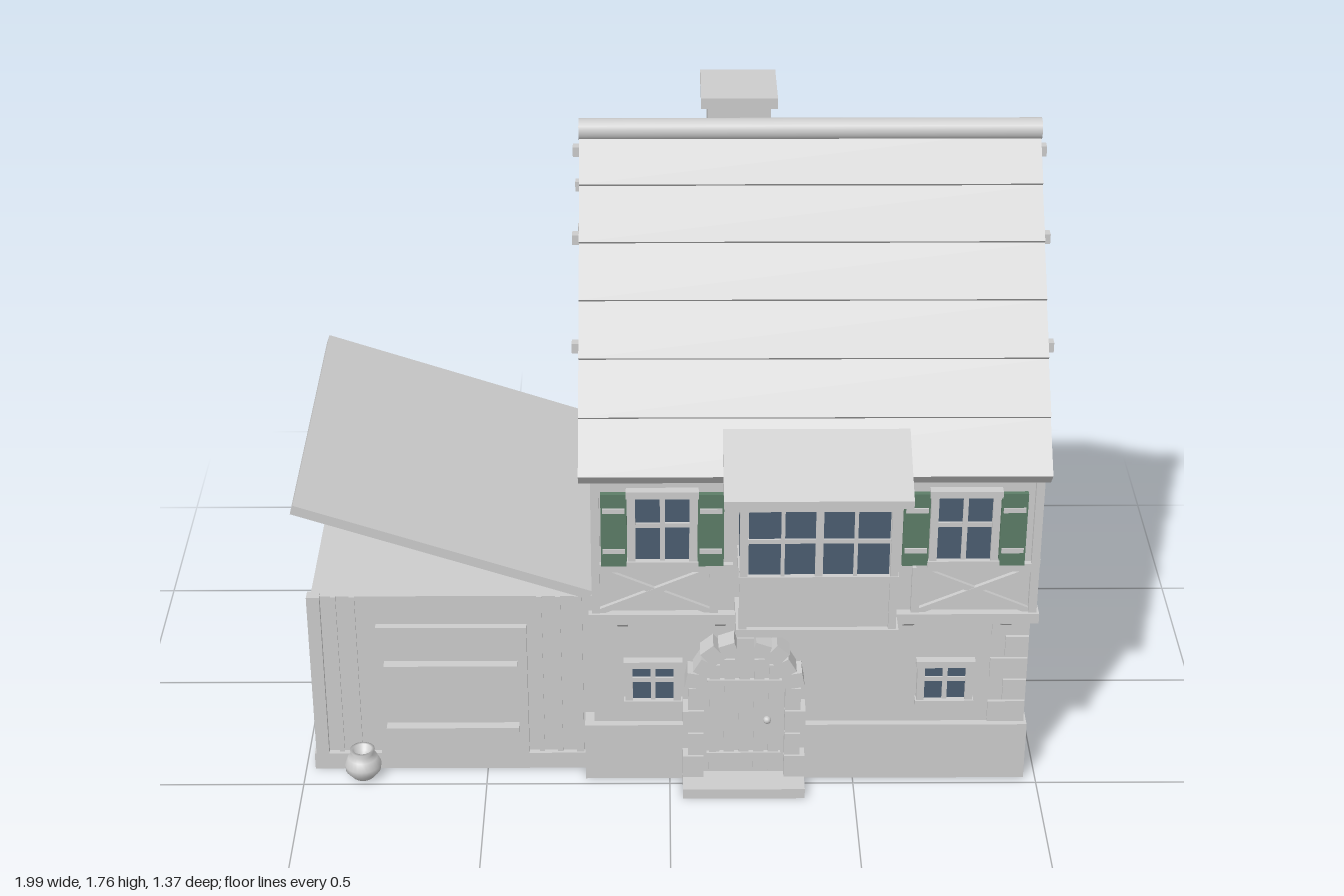
import * as THREE from 'three';

const material = (name, color) => Object.assign(new THREE.MeshStandardMaterial({ color }), { name });
const STONE = material('pale grey', 0xcccccc);
const GREEN = material('shutter green', 0x5c7d67);
const GLASS = material('window blue', 0x4b5d70);

function add(parent, name, geometry, mat = STONE) {
  const mesh = new THREE.Mesh(geometry, mat);
  mesh.name = name;
  parent.add(mesh);
  return mesh;
}

// Box given by its limits on each axis
function box(parent, name, x0, x1, y0, y1, z0, z1, mat) {
  const mesh = add(parent, name, new THREE.BoxGeometry(x1 - x0, y1 - y0, z1 - z0), mat);
  mesh.position.set((x0 + x1) / 2, (y0 + y1) / 2, (z0 + z1) / 2);
  return mesh;
}

// Straight bar between two points of a facade plane
function beam(parent, name, u0, v0, u1, v1, width = 0.022, depth = 0.015, z = 0) {
  const mesh = add(parent, name, new THREE.BoxGeometry(Math.hypot(u1 - u0, v1 - v0), width, depth));
  mesh.position.set((u0 + u1) / 2, (v0 + v1) / 2, z + depth / 2);
  mesh.rotation.z = Math.atan2(v1 - v0, u1 - u0);
  return mesh;
}

function cross(parent, u0, u1, v0, v1) {
  beam(parent, 'crossBrace', u0, v0, u1, v1, 0.017, 0.012);
  beam(parent, 'crossBrace', u0, v1, u1, v0, 0.017, 0.011);
}

function group(parent, name, x = 0, y = 0, z = 0, turn = 0) {
  const g = new THREE.Group();
  g.name = name;
  g.position.set(x, y, z);
  g.rotation.y = turn;
  parent.add(g);
  return g;
}

// Framed window centred on (u, v), with optional pair of shutters
function windowAt(parent, u, v, w, h, shutter = 0) {
  const g = group(parent, 'window', u, v, 0);
  const a = w / 2, b = h / 2, f = 0.02;
  box(g, 'glass', -a + f, a - f, -b + f, b - f, 0, 0.008, GLASS);
  for (const s of [-1, 1]) {
    beam(g, 'frameSide', s * (a - f / 2), -b, s * (a - f / 2), b, f, 0.02);
    beam(g, 'frameRail', -a - 0.004, s * (b - f / 2), a + 0.004, s * (b - f / 2), f, 0.025);
    if (!shutter) continue;
    const c = s * (a + shutter / 2 + 0.002);
    box(g, 'shutter', c - shutter / 2, c + shutter / 2, -b + 0.005, b - 0.01, 0.005, 0.02, GREEN);
    for (const t of [-0.55, 0.5])
      box(g, 'shutterStrap', c - shutter / 2 + 0.005, c + shutter / 2 - 0.005, t * b - 0.007, t * b + 0.007, 0.02, 0.024);
  }
  beam(g, 'mullion', 0, -b, 0, b, 0.013, 0.015);
  beam(g, 'glazingBar', -a, 0.01, a, 0.01, 0.013, 0.014);
}

// Solid from a profile of [toward the back, up] pairs, running along x
function prism(parent, name, points, x0, x1) {
  const shape = new THREE.Shape(points.map(p => new THREE.Vector2(...p)));
  const mesh = add(parent, name, new THREE.ExtrudeGeometry(shape, { depth: x1 - x0, bevelEnabled: false }));
  mesh.rotation.y = Math.PI / 2;
  mesh.position.x = x0;
  return mesh;
}

function buildShell(house) {
  box(house, 'plinth', -0.23, 0.968, 0, 0.175, -0.57, 0.475);
  box(house, 'groundFloor', -0.205, 0.95, 0.17, 0.54, -0.55, 0.455);
  prism(house, 'upperFloorAndGable',
    [[-0.505, 0.53], [0.605, 0.53], [0.605, 1.02], [0.05, 1.65], [-0.505, 1.02]], -0.205, 0.955);

  // Stepped tile courses on both slopes
  const slope = 1.118, side = [];
  for (let i = 0; i < 6; i++) {
    const d0 = i * 0.104, d1 = d0 + 0.104;
    side.push([d0, 1.70 - slope * d0], [d1 + 0.009, 1.708 - slope * d1]);
  }
  side.push([0.6, 1.645 - slope * 0.6]);
  const profile = [...side.map(([d, y]) => [0.05 + d, y]), [0.05, 1.645],
    ...side.slice(1).reverse().map(([d, y]) => [0.05 - d, y])];
  prism(house, 'tiledRoof', profile.reverse(), -0.235, 0.975);
  const ridge = add(house, 'ridge', new THREE.CylinderGeometry(0.029, 0.029, 1.214, 20));
  ridge.rotation.z = Math.PI / 2;
  ridge.position.set(0.37, 1.7, -0.05);
  for (const [d, y] of [[0, 1.64], [0.17, 1.465], [-0.17, 1.465], [0.36, 1.245], [-0.36, 1.245]])
    box(house, 'purlin', -0.253, 0.993, y - 0.014, y + 0.014, -0.063 + d, -0.037 + d);

  box(house, 'chimney', 0.103, 0.27, 1.3, 1.735, -0.295, -0.128);
  box(house, 'chimneyCap', 0.085, 0.287, 1.732, 1.762, -0.312, -0.108);

  // Alternating corner stones on the free end
  for (const s of [-1, 1])
    for (let i = 0; i < 5; i++) {
      const long = i % 2 ? 0.1 : 0.058, z = s > 0 ? 0.463 : -0.558;
      const y = 0.178 + i * 0.069, wide = i % 2 ? 0.062 : 0.1;
      box(house, 'cornerStone', 0.96 - wide, 0.96, y, y + 0.064, Math.min(z, z - s * long), Math.max(z, z - s * long));
    }
}

function buildFront(house) {
  const f = group(house, 'frontTimber', 0, 0, 0.505);
  beam(f, 'sillBeam', -0.215, 0.547, 0.97, 0.547, 0.03, 0.023);
  beam(f, 'topBeam', -0.205, 0.985, 0.965, 0.985, 0.025);
  for (const [a, b] of [[-0.195, 0.115], [0.645, 0.955]]) {
    beam(f, 'rail', a, 0.7, b + (a < 0 ? 0.05 : 0), 0.7);
    cross(f, a, b, 0.56, 0.695);
    beam(f, 'post', a, 0.55, a, a < 0 ? 0.99 : 0.7);
    beam(f, 'post', b, 0.55, b, a < 0 ? 0.7 : 0.99);
  }
  for (const u of [-0.02, 0.765]) windowAt(f, u, 0.82, 0.18, 0.23, 0.068);
  const g = group(house, 'frontGroundFloor', 0, 0, 0.455);
  for (const u of [-0.045, 0.74]) windowAt(g, u, 0.308, 0.15, 0.145);
  for (const x of [-0.14, 0.12, 0.62, 0.88]) bracket(house, x, 0.455, 1);
}

// Wedge-shaped bracket below the overhanging storey
function bracket(house, x, z, s, reach = 0.05, top = 0.535, drop = 0.055) {
  const pts = [[-s * z, top - drop], [-s * z, top], [-s * z - reach, top], [-s * z - reach, top - 0.018]];
  const m = prism(house, 'bracket', pts.reverse(), -0.014, 0.014);
  m.position.x = x;
  if (s < 0) m.rotation.y = -Math.PI / 2;
  return m;
}

function buildBay(house) {
  const g = group(house, 'bay', 0.38, 0, 0);
  box(g, 'bayBody', -0.195, 0.195, 0.59, 0.985, 0.5, 0.65);
  box(g, 'bayFoot', -0.21, 0.21, 0.58, 0.602, 0.5, 0.665);
  box(g, 'baySill', -0.205, 0.205, 0.742, 0.762, 0.5, 0.665);
  box(g, 'bayHead', -0.205, 0.205, 0.955, 0.985, 0.5, 0.665);
  for (const s of [-1, 1]) {
    box(g, 'bayPost', s * 0.193 - 0.01, s * 0.193 + 0.01, 0.59, 0.98, 0.64, 0.662);
    const x = s * 0.197;
    box(g, 'baySideGlass', x - 0.004, x + 0.004, 0.765, 0.952, 0.52, 0.638, GLASS);
    box(g, 'bayPane', s * 0.093 - 0.087, s * 0.093 + 0.087, 0.765, 0.952, 0.648, 0.655, GLASS);
    beam(g, 'bayMullion', s * 0.093, 0.76, s * 0.093, 0.955, 0.01, 0.01, 0.65);
  }
  beam(g, 'bayMullion', 0, 0.76, 0, 0.955, 0.02, 0.012, 0.65);
  beam(g, 'bayGlazingBar', -0.19, 0.865, 0.19, 0.865, 0.012, 0.01, 0.65);
  prism(g, 'bayRoof', [[-0.685, 0.975], [-0.46, 1.092], [-0.46, 1.115], [-0.685, 0.997]], -0.245, 0.235);
  for (const x of [0.215, 0.37, 0.52]) bracket(house, x, 0.455, 1, 0.18, 0.582, 0.085);
}

function buildRightEnd(house) {
  const g = group(house, 'gableTimber', 0.955, 0, 0, Math.PI / 2);
  beam(g, 'sillBeam', -0.525, 0.545, 0.62, 0.545, 0.03, 0.018);
  beam(g, 'rail', -0.5, 0.7, 0.6, 0.7);
  beam(g, 'topBeam', -0.52, 1.03, 0.62, 1.03, 0.022);
  const posts = [-0.495, -0.135, 0.235, 0.595];
  posts.forEach((u, i) => {
    beam(g, 'post', u, 0.55, u, 1.03, 0.022, 0.013);
    if (i) cross(g, posts[i - 1], u, 0.56, 0.695);
  });
  beam(g, 'gableRail', -0.32, 1.218, 0.42, 1.218, 0.018);
  beam(g, 'gableRail', -0.13, 1.438, 0.23, 1.438, 0.018);
  for (const s of [-1, 1]) {
    beam(g, 'gablePost', 0.05 + s * 0.103, 1.03, 0.05 + s * 0.103, 1.53, 0.02, 0.013);
    beam(g, 'rafter', 0.05 + s * 0.55, 1.015, 0.05, 1.63, 0.022, 0.014);
  }
  box(g, 'gableShutter', -0.022, 0.12, 1.236, 1.412, 0, 0.017, GREEN);
  for (const u of [-0.195, 0.295]) windowAt(g, u, 0.822, 0.21, 0.23, 0.073);
  const low = group(house, 'rightGroundFloor', 0.95, 0, 0, Math.PI / 2);
  for (const u of [-0.213, 0.307]) windowAt(low, u, 0.31, 0.16, 0.128, 0.063);
}

function buildBack(house) {
  const g = group(house, 'backTimber', 0, 0, -0.605, Math.PI);
  beam(g, 'sillBeam', -0.97, 0.545, 0.21, 0.545, 0.03, 0.018);
  beam(g, 'rail', -0.955, 0.7, 0.2, 0.7);
  beam(g, 'topBeam', -0.96, 0.995, 0.205, 0.995, 0.025);
  for (let i = 0; i < 5; i++) {
    const u = -0.945 + i * 0.285;
    beam(g, 'post', u, 0.55, u, 1.0, 0.022, 0.013);
    if (i < 4) cross(g, u, u + 0.285, 0.56, 0.695);
  }
  beam(g, 'diagonalBrace', -0.935, 0.71, -0.67, 0.985, 0.022, 0.012);
  for (const x of [-0.08, 0.22, 0.52, 0.82]) bracket(house, x, -0.55, -1);
}

function buildDoor(house) {
  const g = group(house, 'entrance', 0.2, 0, 0.455);
  box(g, 'doorStep', -0.165, 0.165, 0, 0.03, 0, 0.115);
  const shape = new THREE.Shape();
  shape.moveTo(-0.11, 0.03).lineTo(0.11, 0.03).lineTo(0.11, 0.32).absarc(0, 0.32, 0.11, 0, Math.PI);
  add(g, 'doorLeaf', new THREE.ExtrudeGeometry(shape, { depth: 0.03, bevelEnabled: false, curveSegments: 16 }));
  for (let i = -2; i <= 2; i++) beam(g, 'doorPlank', i * 0.04, 0.035, i * 0.04, 0.415 - Math.abs(i) * 0.018, 0.028, 0.007, 0.03);
  for (const v of [0.09, 0.325]) beam(g, 'doorBar', -0.1, v, 0.1, v, 0.018, 0.012, 0.03);
  const knob = add(g, 'doorKnob', new THREE.SphereGeometry(0.011, 12, 8));
  knob.position.set(0.062, 0.21, 0.047);
  for (const s of [-1, 1])
    for (let i = 0; i < 4; i++) {
      const c = i % 2 ? 0.13 : 0.137, w = i % 2 ? 0.042 : 0.056;
      box(g, 'jambStone', s * c - w / 2, s * c + w / 2, 0.032 + i * 0.073, 0.1 + i * 0.073, 0, 0.06);
    }
  for (let i = 0; i < 9; i++) {
    const a = Math.PI * (i + 0.5) / 9, r = i % 2 ? 0.127 : 0.133;
    const stone = add(g, 'archStone', new THREE.BoxGeometry(i % 2 ? 0.04 : 0.052, 0.045, 0.06));
    stone.position.set(r * Math.cos(a), 0.32 + r * Math.sin(a), 0.03);
    stone.rotation.z = a;
  }
}

function buildGarage(model) {
  const g = group(model, 'garage');
  box(g, 'garageBase', -0.975, -0.22, 0, 0.05, -0.485, 0.425);
  box(g, 'garageBody', -0.96, -0.2, 0.04, 0.548, -0.472, 0.41);
  for (const z of [-0.485, 0.39]) box(g, 'cornerPost', -0.97, -0.935, 0.045, 0.552, z, z + 0.035);
  box(g, 'innerPost', -0.255, -0.235, 0.045, 0.552, 0.4, 0.42);
  for (const x of [-0.9, -0.85, -0.35, -0.3]) box(g, 'wallBatten', x - 0.007, x + 0.007, 0.05, 0.548, 0.4, 0.416);
  box(g, 'garageDoor', -0.79, -0.385, 0.05, 0.46, 0.4, 0.43);
  for (const y of [0.148, 0.348]) box(g, 'doorRail', -0.77, -0.41, y - 0.007, y + 0.007, 0.425, 0.458);

  // Lean-to roof rising away from the house, on two beams
  const roof = group(g, 'leanToRoof', 0, 0, -0.545);
  beam(roof, 'roofSlab', -0.99, 0.833, -0.21, 0.568, 0.027, 0.985);
  for (const z of [0.09, 0.85]) beam(roof, 'roofBeam', -0.985, 0.808, -0.21, 0.545, 0.025, 0.035, z);

  const outline = [[0, 0], [0.03, 0], [0.048, 0.022], [0.05, 0.04], [0.04, 0.062], [0.027, 0.07], [0.034, 0.085], [0.025, 0.085], [0.02, 0.068], [0, 0.06]];
  const jar = add(g, 'jar', new THREE.LatheGeometry(outline.map(p => new THREE.Vector2(...p)), 24));
  jar.position.set(-0.84, 0, 0.455);
}

export function createModel() {
  const model = new THREE.Group();
  model.name = 'timberFramedHouse';
  const house = group(model, 'house');
  for (const build of [buildShell, buildFront, buildBay, buildRightEnd, buildBack, buildDoor]) build(house);
  buildGarage(model);
  return model;
}
